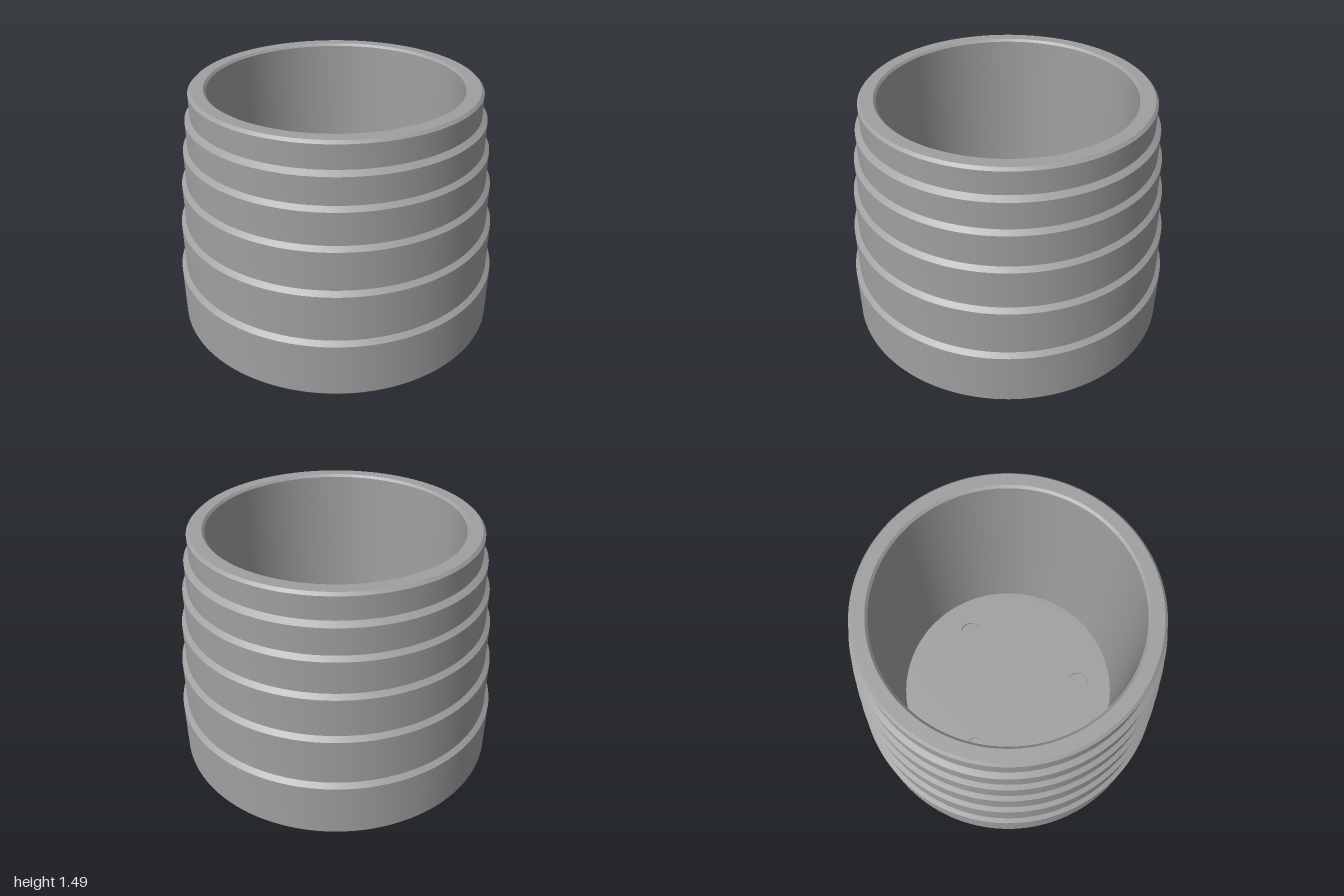
import * as THREE from 'three';
import { toCreasedNormals } from 'three/addons/utils/BufferGeometryUtils.js';

const SEG = 128;
const FLOOR = 0.1;
const DEPTH = 0.02;

export function createModel() {
  const group = new THREE.Group();
  const grey = new THREE.MeshStandardMaterial({ color: 0xa0a0a0 });
  grey.name = 'grey';

  const add = (name, geometry, y = 0) => {
    const mesh = new THREE.Mesh(geometry, grey);
    mesh.name = name;
    mesh.position.y = y;
    group.add(mesh);
    return mesh;
  };
  const lathe = (points, segments) => toCreasedNormals(
    new THREE.LatheGeometry(points.map(([r, y]) => new THREE.Vector2(r, y)), segments), 0.4);

  // Tiered wall: each tier is a straight band ending in a chamfer
  const tiers = [[1, 0.345], [0.972, 0.655], [0.944, 0.915], [0.917, 1.133], [0.89, 1.317], [0.858, 1.477]];
  const profile = [[0.99, 0], [1, 0.012]];
  tiers.forEach(([r, y], i) => {
    profile.push([r, y]);
    if (i < tiers.length - 1) profile.push([tiers[i + 1][0], y + 0.024]);
  });
  // Rim, inner chamfer and slightly tapered inside
  profile.push([0.842, 1.493], [0.768, 1.493], [0.754, 1.479], [0.735, FLOOR]);
  add('tieredWall', lathe(profile, SEG));

  // Flat disc with round openings
  const disc = (radius, spots, spotRadius) => {
    const shape = new THREE.Shape().absarc(0, 0, radius, 0, Math.PI * 2, false);
    for (const [x, y] of spots) {
      shape.holes.push(new THREE.Path().absarc(x, y, spotRadius, 0, Math.PI * 2, true));
    }
    return new THREE.ShapeGeometry(shape, SEG / 2);
  };
  // Shallow round pocket opening upwards
  const pocket = (r) => lathe([[r, 0], [r, -DEPTH], [0, -DEPTH]], 64);
  const ring = (count, radius, start) => Array.from({ length: count }, (_, i) => {
    const a = start + (i * Math.PI * 2) / count;
    return [radius * Math.cos(a), radius * Math.sin(a)];
  });

  // Inside floor with three pockets
  const inner = ring(3, 0.505, Math.PI / 2);
  add('insideFloor', disc(0.735, inner, 0.07).rotateX(-Math.PI / 2), FLOOR);
  for (const [x, y] of inner) add('floorPocket', pocket(0.07), FLOOR).position.set(x, FLOOR, -y);

  // Underside with four pockets
  const outer = ring(4, 0.66, Math.PI / 4);
  add('underside', disc(0.99, outer, 0.107).rotateX(Math.PI / 2));
  for (const [x, z] of outer) {
    const mesh = add('footPocket', pocket(0.107));
    mesh.position.set(x, 0, z);
    mesh.rotation.x = Math.PI;
  }
  return group;
}
